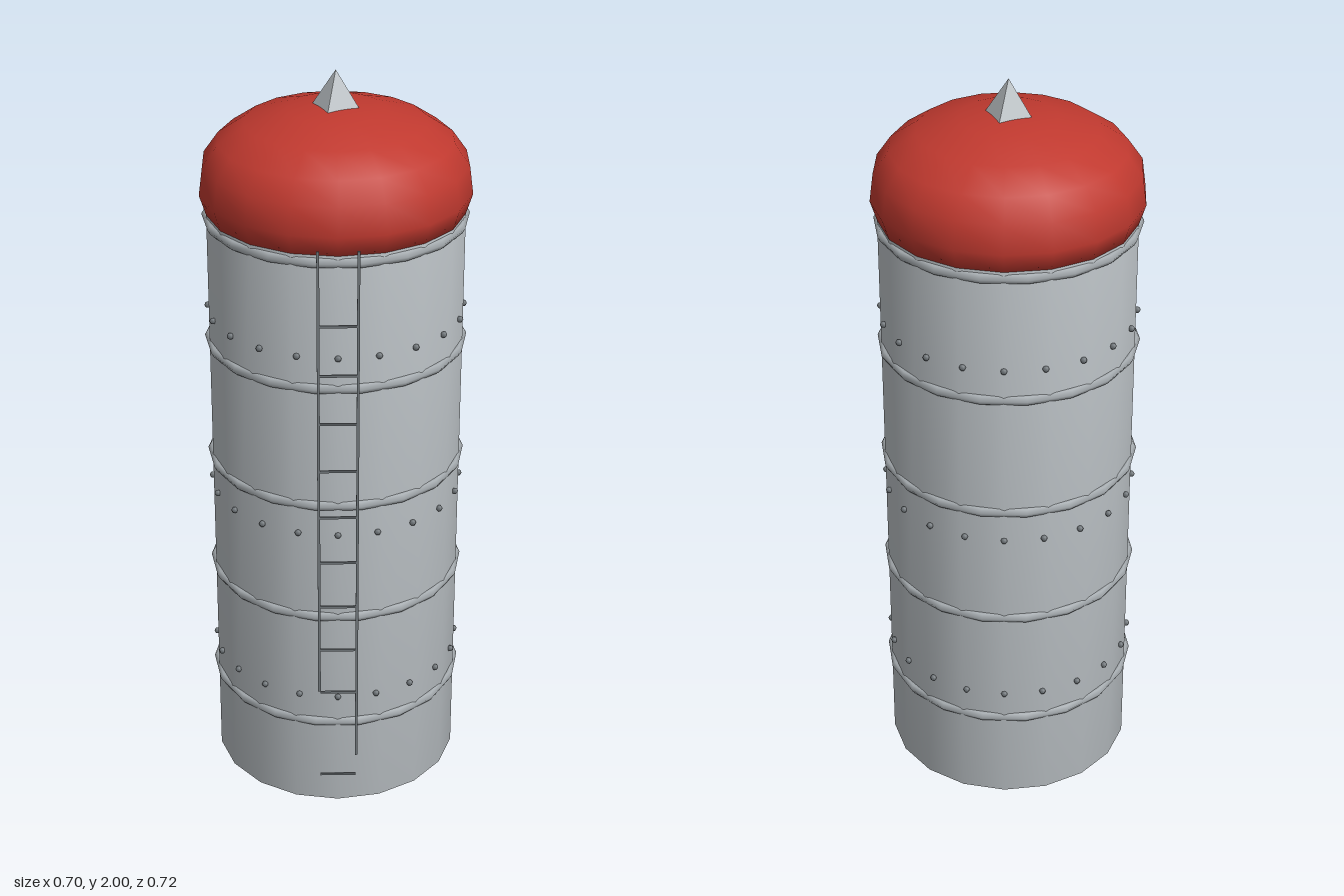
import * as THREE from 'three';
import { mergeVertices } from 'three/addons/utils/BufferGeometryUtils.js';

const SIDES = 18;

// Weld a geometry so its shading runs smoothly over every edge.
function weld(geometry) {
  geometry.deleteAttribute('normal');
  geometry.deleteAttribute('uv');
  const welded = mergeVertices(geometry, 1e-4);
  welded.computeVertexNormals();
  return welded;
}

function material(name, color) {
  const m = new THREE.MeshStandardMaterial({ color });
  m.name = name;
  return m;
}

export function createModel() {
  const silo = new THREE.Group();
  silo.name = 'silo';
  const wallGrey = material('wall grey', 0xb9bfc3);
  const hoopGrey = material('hoop grey', 0xa6acb0);
  const darkSteel = material('dark steel', 0x70767a);
  const roofRed = material('roof red', 0xc0392f);

  function add(parent, name, geometry, mat, x = 0, y = 0, z = 0) {
    const mesh = new THREE.Mesh(geometry, mat);
    mesh.name = name;
    mesh.position.set(x, y, z);
    parent.add(mesh);
    return mesh;
  }

  const tower = new THREE.Group();
  tower.name = 'tower';
  tower.position.z = -0.007;
  silo.add(tower);

  // Wall with softly shaded ends
  add(tower, 'wall', weld(new THREE.CylinderGeometry(0.337, 0.337, 1.64, SIDES)), wallGrey, 0, 0.82);

  // Domed roof, bulging slightly over the wall
  const roofProfile = [
    [0, 1.63], [0.335, 1.63], [0.354, 1.69], [0.344, 1.765],
    [0.305, 1.82], [0.235, 1.867], [0.125, 1.9], [0, 1.912],
  ].map(([r, y]) => new THREE.Vector2(r, y));
  add(tower, 'roof', weld(new THREE.LatheGeometry(roofProfile, SIDES)), roofRed);

  // Four-sided finial
  const finial = add(tower, 'finial', new THREE.ConeGeometry(0.066, 0.1, 4), wallGrey, 0, 1.95);
  finial.geometry = finial.geometry.toNonIndexed();
  finial.geometry.computeVertexNormals();
  finial.rotation.y = 1.23;

  // Reinforcing hoops
  const hoopGeometry = new THREE.TorusGeometry(0.333, 0.014, 6, SIDES).rotateX(Math.PI / 2);
  for (const y of [0.26, 0.598, 0.936, 1.274, 1.617]) add(tower, 'hoop', hoopGeometry, hoopGrey, 0, y);

  // Rows of rivets
  const rivetGeometry = new THREE.SphereGeometry(0.009, 6, 4);
  for (const y of [0.343, 0.85, 1.36]) {
    for (let i = 0; i < 20; i++) {
      const a = (i / 20) * Math.PI * 2;
      add(tower, 'rivet', rivetGeometry, darkSteel, Math.sin(a) * 0.337, y, Math.cos(a) * 0.337);
    }
  }

  // Ladder with rails of uneven length
  const ladder = new THREE.Group();
  ladder.name = 'ladder';
  ladder.position.z = 0.356;
  silo.add(ladder);
  for (const [x, low] of [[-0.05, 0.38], [0.05, 0.17]]) {
    add(ladder, 'rail', new THREE.BoxGeometry(0.007, 1.66 - low, 0.005), darkSteel, x, (1.66 + low) / 2);
  }
  for (let i = 0; i < 11; i++) {
    if (i === 1) continue; // missing rung
    add(ladder, 'rung', new THREE.BoxGeometry(0.096, 0.006, 0.005), darkSteel, 0, 0.105 + i * 0.1355);
  }
  return silo;
}
